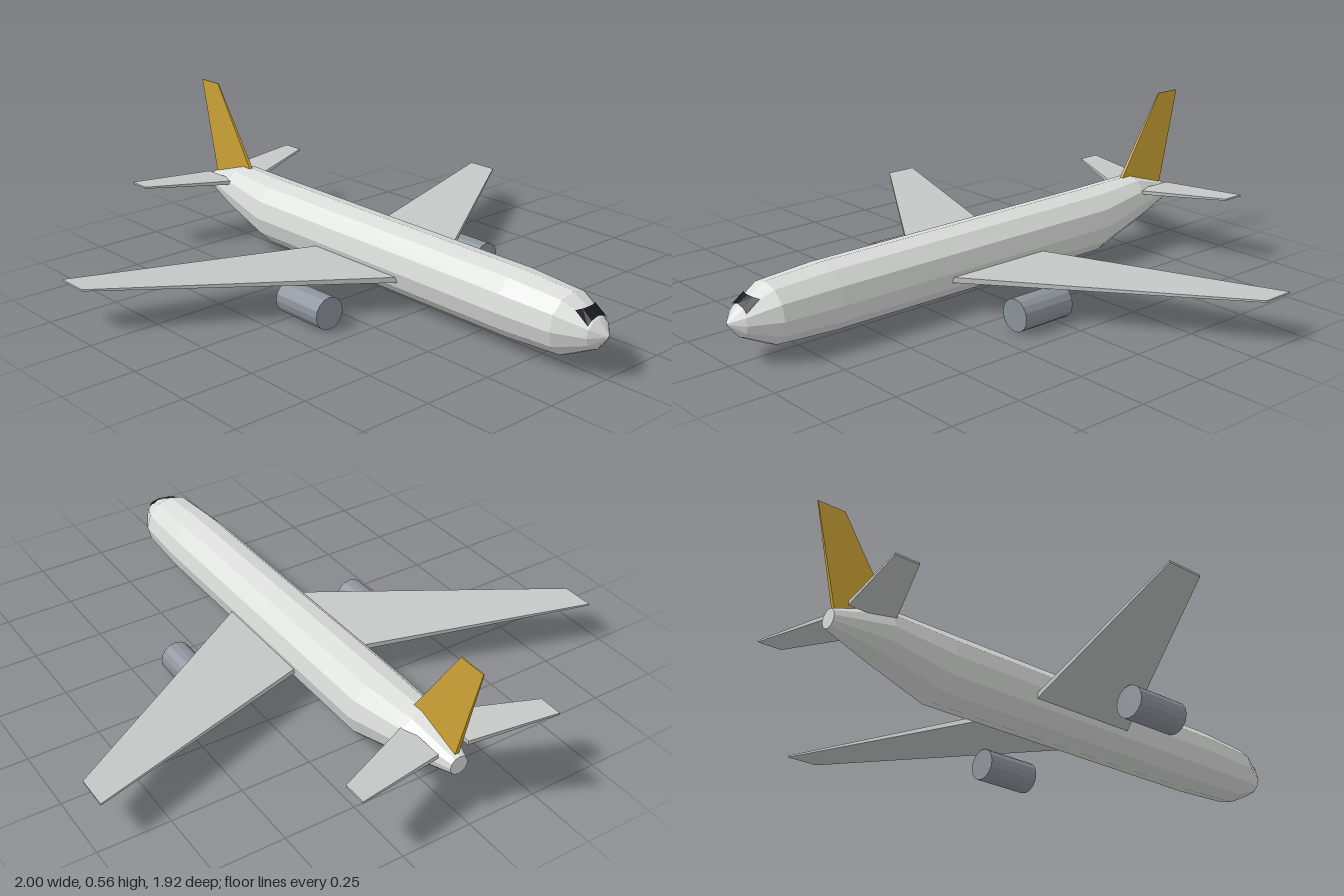
import * as THREE from 'three';

const mat = (name, color) => Object.assign(new THREE.MeshStandardMaterial({ color }), { name });
const lerp = THREE.MathUtils.lerp;

// Fuselage sections: x, centre y, half height, half width
const SECTIONS = [
  [-0.93, 0.182, 0.033, 0.033],
  [-0.75, 0.183, 0.088, 0.092],
  [-0.53, 0.145, 0.12, 0.12],
  [0.65, 0.14, 0.115, 0.118],
  [0.86, 0.138, 0.103, 0.106],
  [0.96, 0.135, 0.05, 0.054],
  [1.0, 0.137, 0.004, 0.004],
];

// Point on the hull at station x and angle a from the top
function hullPoint(x, a, offset = 0) {
  let i = 0;
  while (i < SECTIONS.length - 2 && x > SECTIONS[i + 1][0]) i++;
  const p = SECTIONS[i], q = SECTIONS[i + 1];
  const t = (x - p[0]) / (q[0] - p[0]);
  const [cy, ry, rz] = [1, 2, 3].map((k) => lerp(p[k], q[k], t));
  return [x, cy + (ry + offset) * Math.cos(a), (rz + offset) * Math.sin(a)];
}

// Faceted geometry from triangles listed as points
function facets(points) {
  const g = new THREE.BufferGeometry();
  g.setAttribute('position', new THREE.Float32BufferAttribute(points.flat(), 3));
  g.computeVertexNormals();
  return g;
}

function fuselageGeometry(sides = 12) {
  const pts = [];
  const angle = (j) => (j / sides) * Math.PI * 2;
  for (let j = 0; j < sides; j++) {
    const a = angle(j), b = angle(j + 1);
    for (let i = 0; i < SECTIONS.length - 1; i++) {
      const x0 = SECTIONS[i][0], x1 = SECTIONS[i + 1][0];
      const A = hullPoint(x0, a), B = hullPoint(x1, a), C = hullPoint(x1, b), D = hullPoint(x0, b);
      pts.push(A, D, C, A, C, B);
    }
    // End caps
    const tail = SECTIONS[0], nose = SECTIONS[SECTIONS.length - 1];
    pts.push([tail[0], tail[1], 0], hullPoint(tail[0], b), hullPoint(tail[0], a));
    pts.push([nose[0], nose[1], 0], hullPoint(nose[0], a), hullPoint(nose[0], b));
  }
  return facets(pts);
}

// Bow-shaped window band wrapped over the nose
function windshieldGeometry() {
  const deg = Math.PI / 180;
  const back = [[-32, 0.907], [-18, 0.918], [0, 0.922], [18, 0.918], [32, 0.907]];
  const front = [-50, -30, 0, 30, 50];
  const pts = [];
  for (let i = 0; i < 4; i++) {
    const b = (k) => hullPoint(back[k][1], back[k][0] * deg, 0.006);
    const f = (k) => hullPoint(0.957, front[k] * deg, 0.006);
    pts.push(b(i), b(i + 1), f(i + 1), b(i), f(i + 1), f(i));
  }
  return facets(pts);
}

// Tapered panel spanning along z; root and tip: { x: [trailing, leading], y: [bottom, top], z }
function panelGeometry(root, tip, side) {
  const g = new THREE.BoxGeometry(1, 1, 1).toNonIndexed();
  const p = g.attributes.position;
  for (let i = 0; i < p.count; i++) {
    const t = side * p.getZ(i) + 0.5;
    const u = p.getX(i) > 0 ? 1 : 0, v = p.getY(i) > 0 ? 1 : 0;
    p.setXYZ(i, lerp(root.x[u], tip.x[u], t), lerp(root.y[v], tip.y[v], t), side * lerp(root.z, tip.z, t));
  }
  g.computeVertexNormals();
  return g;
}

export function createModel() {
  const model = new THREE.Group();
  model.name = 'airliner';

  const hull = mat('hull light grey', 0xdadcda);
  const wing = mat('wing grey', 0xc4c7c6);
  const metal = mat('engine grey', 0x8c929b);
  const gold = mat('fin gold', 0xcda336);
  const glass = mat('window black', 0x15191e);
  glass.side = THREE.DoubleSide;

  const add = (name, geometry, material) => {
    const mesh = new THREE.Mesh(geometry, material);
    mesh.name = name;
    model.add(mesh);
    return mesh;
  };

  add('fuselage', fuselageGeometry(), hull);
  add('windshield', windshieldGeometry(), glass);

  // Tail fin, raised from a flat panel
  const fin = panelGeometry(
    { x: [-0.91, -0.66], y: [-0.008, 0.008], z: 0.19 },
    { x: [-1.0, -0.9], y: [-0.002, 0.002], z: 0.565 }, 1);
  add('tailFin', fin.rotateX(-Math.PI / 2), gold);

  for (const side of [1, -1]) {
    const label = side > 0 ? 'Near' : 'Far';
    add('wing' + label, panelGeometry(
      { x: [-0.185, 0.235], y: [0.104, 0.124], z: 0.07 },
      { x: [-0.47, -0.35], y: [0.143, 0.149], z: 0.96 }, side), wing);

    add('stabilizer' + label, panelGeometry(
      { x: [-0.9, -0.73], y: [0.214, 0.229], z: 0.057 },
      { x: [-0.955, -0.87], y: [0.232, 0.238], z: 0.37 }, side), wing);

    // Engine pod under the wing
    const pod = new THREE.CylinderGeometry(0.056, 0.056, 0.205, 16).toNonIndexed();
    pod.computeVertexNormals();
    pod.rotateZ(-Math.PI / 2);
    add('engine' + label, pod, metal).position.set(0.063, 0.056, side * 0.367);
  }

  return model;
}
